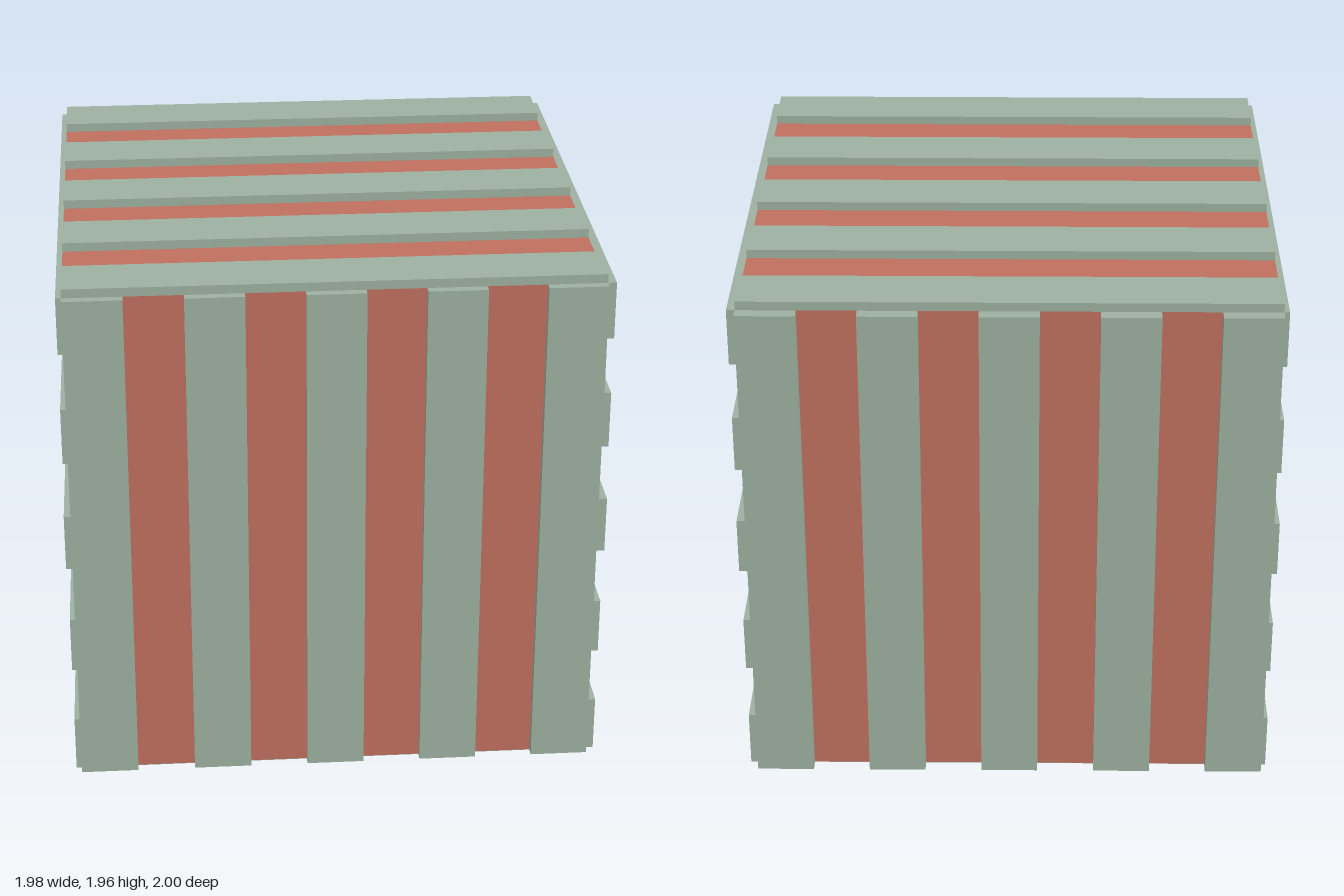
import * as THREE from 'three';

const GREEN = new THREE.MeshStandardMaterial({ color: 0x9cb0a0 });
const RED = new THREE.MeshStandardMaterial({ color: 0xbf6f5e });

// Limits of the inner crate body
const X0 = -0.965, X1 = 0.95, Y1 = 1.925, Z0 = -0.953, Z1 = 0.967;
const SLATS = 5, SLAT_SHARE = 1 / 9;

// Box given by its two opposite corners
function block(name, material, [x0, y0, z0], [x1, y1, z1]) {
  const mesh = new THREE.Mesh(new THREE.BoxGeometry(x1 - x0, y1 - y0, z1 - z0), material);
  mesh.name = name;
  mesh.position.set((x0 + x1) / 2, (y0 + y1) / 2, (z0 + z1) / 2);
  return mesh;
}

// Five evenly spaced slats between a and b; make(start, end, index) builds one
function slatRow(name, a, b, make) {
  const row = new THREE.Group();
  row.name = name;
  const width = (b - a) * SLAT_SHARE;
  for (let i = 0; i < SLATS; i++) {
    const start = a + 2 * i * width;
    row.add(make(start, start + width, i));
  }
  return row;
}

export function createModel() {
  const crate = new THREE.Group();
  crate.name = 'slattedCrate';

  // Red body on a thin green base
  crate.add(block('body', RED, [X0, 0.002, Z0], [X1, Y1, Z1]));
  crate.add(block('base', GREEN, [X0, 0, Z0], [X1, 0.002, Z1]));

  // Upright slats, front and back
  crate.add(slatRow('frontSlats', X0, X1, (a, b) =>
    block('frontSlat', GREEN, [a, 0, Z1], [b, Y1, 1])));
  crate.add(slatRow('backSlats', X0, X1, (a, b) =>
    block('backSlat', GREEN, [a, 0, -1], [b, Y1, Z0])));

  // Level slats on the sides; the middle one stands slightly proud
  const proud = (i) => (i === 2 ? 0.005 : 0);
  crate.add(slatRow('leftSlats', 0, Y1, (a, b, i) =>
    block('leftSlat', GREEN, [X1, a, Z0], [0.981 + proud(i), b, Z1])));
  crate.add(slatRow('rightSlats', 0, Y1, (a, b, i) =>
    block('rightSlat', GREEN, [-0.985 - proud(i), a, Z0], [X0, b, Z1])));

  // Lid slats running from side to side
  crate.add(slatRow('topSlats', Z0, Z1, (a, b) =>
    block('topSlat', GREEN, [X0, Y1, a], [X1, 1.958, b])));

  return crate;
}
